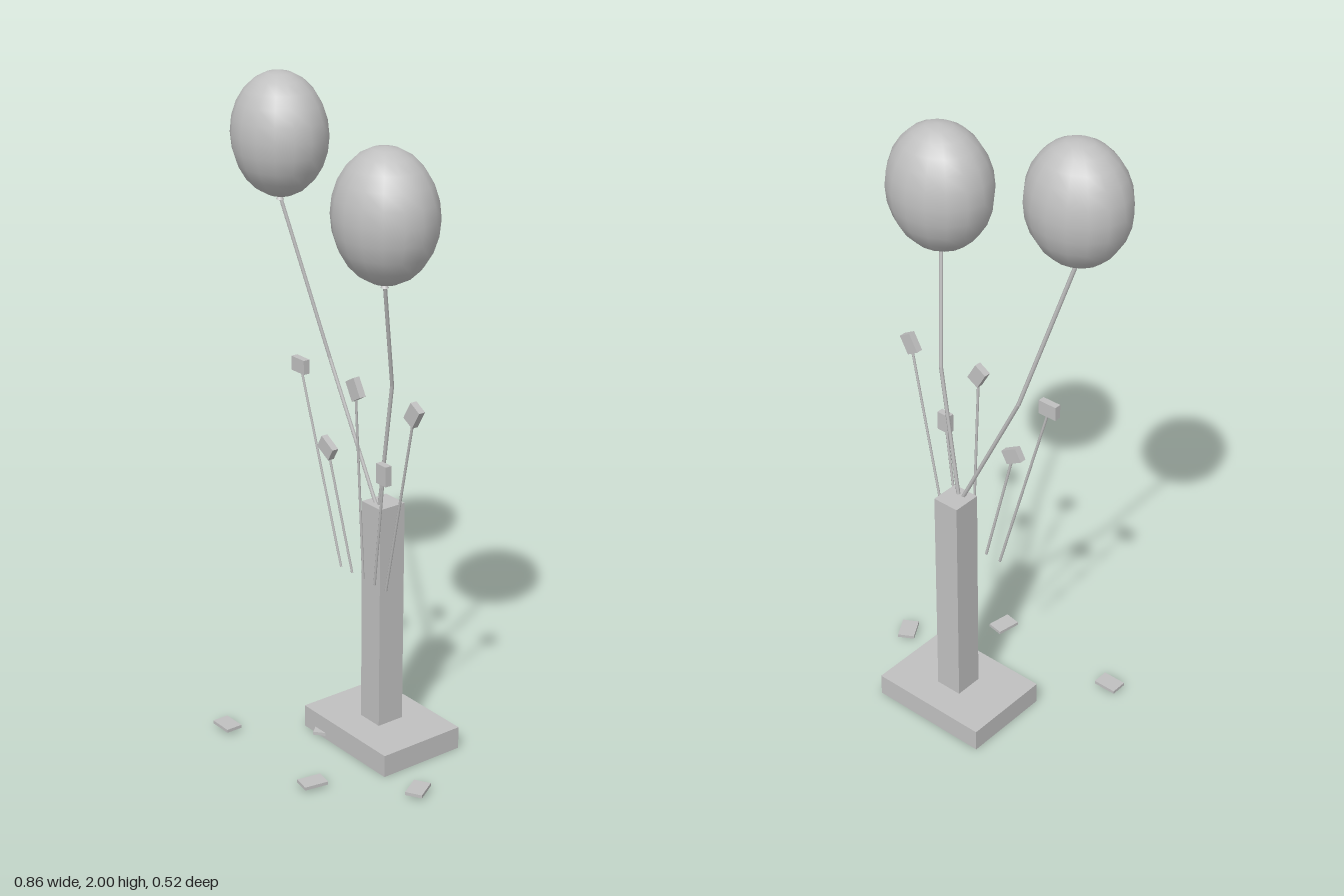
import * as THREE from 'three';

export function createModel() {
  const model = new THREE.Group();
  const grey = new THREE.MeshStandardMaterial({ color: 0xc0c0c0 });
  grey.name = 'grey';

  function add(name, geometry, x, y, z) {
    const mesh = new THREE.Mesh(geometry, grey);
    mesh.name = name;
    mesh.position.set(x, y, z);
    model.add(mesh);
    return mesh;
  }

  // Thin straight rod between two points
  function rod(name, a, b, radius) {
    const start = new THREE.Vector3(...a), end = new THREE.Vector3(...b);
    const dir = end.clone().sub(start);
    const mid = start.clone().add(end).multiplyScalar(0.5);
    const mesh = add(name, new THREE.CylinderGeometry(radius, radius, dir.length(), 6), mid.x, mid.y, mid.z);
    mesh.quaternion.setFromUnitVectors(new THREE.Vector3(0, 1, 0), dir.normalize());
  }

  // Plinth and column
  add('base', new THREE.BoxGeometry(0.39, 0.07, 0.284), 0.06, 0.035, -0.123);
  add('column', new THREE.BoxGeometry(0.086, 0.71, 0.09), 0.06, 0.42, -0.125);

  // Balloons, each on a bent string with a small knot
  const balloons = [
    { at: [-0.275, 1.82, -0.008], size: [0.154, 0.18, 0.134], foot: [0.052, 0.765, -0.106], bend: [-0.142, 1.17, -0.085] },
    { at: [0.216, 1.69, 0.002], size: [0.162, 0.19, 0.141], foot: [0.065, 0.765, -0.106], bend: [0.147, 1.17, -0.083] },
  ];
  for (const { at, size, foot, bend } of balloons) {
    add('balloon', new THREE.SphereGeometry(1, 16, 12), ...at).scale.set(...size);
    const bottom = at[1] - size[1];
    add('knot', new THREE.ConeGeometry(0.012, 0.02, 8), at[0], bottom, at[2]);
    rod('lowerString', foot, bend, 0.006);
    rod('upperString', bend, [at[0], bottom, at[2]], 0.006);
  }

  // Fan of thin stems, each carrying a turned block
  for (let i = 0; i < 5; i++) {
    const x = -0.2 + 0.13 * i;
    const y = i % 2 ? 0.93 : 1.148;
    rod('stem', [-0.046 + 0.053 * i, 0.55, -0.052], [x, y, -0.021], 0.004);
    const block = add('block', new THREE.BoxGeometry(0.06, 0.043, 0.021), x, y, -0.021);
    block.rotation.z = -i * Math.PI / 6;
  }

  // Loose flat pieces on the ground
  for (let i = 0; i < 4; i++) {
    const piece = add('groundPiece', new THREE.BoxGeometry(0.075, 0.01, 0.052),
      -0.265 + 0.217 * i, 0.015, i % 2 ? 0 : 0.218);
    piece.rotation.y = 0.7 * i;
  }

  return model;
}
